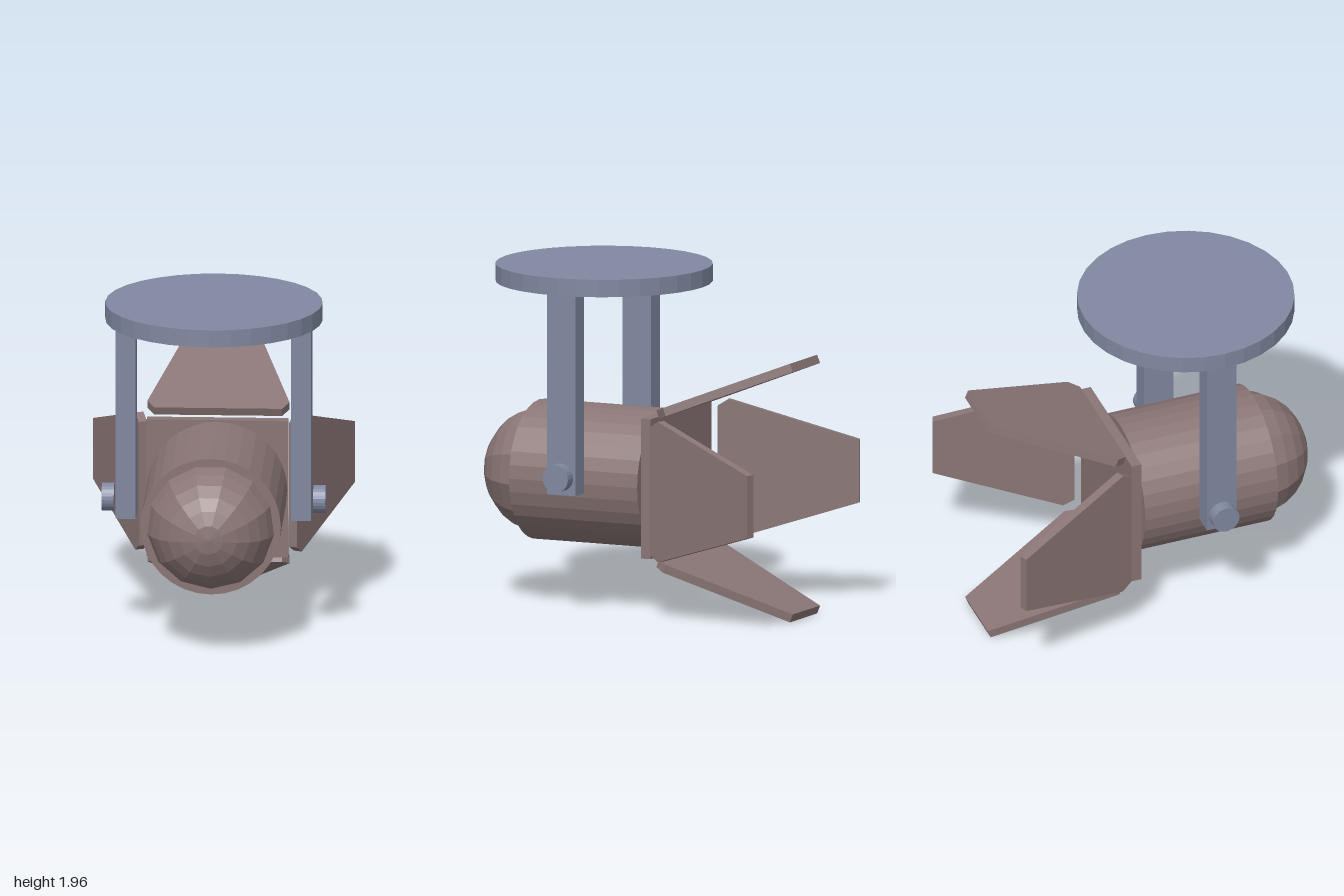
import * as THREE from 'three';

const steel = new THREE.MeshStandardMaterial({ color: 0x8088a0, flatShading: true });
const housing = new THREE.MeshStandardMaterial({ color: 0x8a7575, flatShading: true });
const AXIS_Y = 0.755; // height of the lamp axis

export function createModel() {
  const model = new THREE.Group();
  model.name = 'stageSpotlight';

  const add = (name, geometry, material, x, y, z, parent = model) => {
    const mesh = new THREE.Mesh(geometry, material);
    mesh.name = name;
    mesh.position.set(x, y, z);
    parent.add(mesh);
    return mesh;
  };

  // Ceiling mount
  add('ceilingPlate', new THREE.CylinderGeometry(0.62, 0.62, 0.1, 32), steel, 0, 1.92, 0.28);

  // Yoke arms and tilt knobs on both sides
  for (const [side, s] of [['left', 1], ['right', -1]]) {
    add(side + 'YokeArm', new THREE.BoxGeometry(0.115, 1.15, 0.18), steel, s * 0.5, 1.285, 0.285);
    add(side + 'TiltKnob', new THREE.CylinderGeometry(0.08, 0.08, 0.07, 24).rotateZ(Math.PI / 2),
      steel, s * 0.603, 0.815, 0.283);
  }

  // Lamp body
  add('lampBody', new THREE.CylinderGeometry(0.4, 0.4, 0.81, 32).rotateX(Math.PI / 2),
    housing, 0, AXIS_Y, 0.285);

  // Faceted domed cap, closed at its base
  const radius = 0.37, base = 0.07, rings = 6;
  const start = Math.asin(base / radius);
  const profile = [new THREE.Vector2(0, base)];
  for (let i = 0; i <= rings; i++) {
    const a = start + (Math.PI / 2 - start) * i / rings;
    profile.push(new THREE.Vector2(i === rings ? 0 : radius * Math.cos(a), radius * Math.sin(a)));
  }
  add('domeCap', new THREE.LatheGeometry(profile, 13).rotateX(Math.PI / 2),
    housing, 0, AXIS_Y, 0.63);

  // Square frame that carries the flaps
  add('flapFrame', new THREE.BoxGeometry(0.806, 0.806, 0.06), housing, 0, AXIS_Y, -0.175);

  // Four tapered flaps splayed around the lamp axis
  const outline = new THREE.Shape([
    [-0.365, 0], [0.365, 0], [0.405, 0.065], [0.18, 0.81], [-0.18, 0.81], [-0.405, 0.065],
  ].map(([x, y]) => new THREE.Vector2(x, y)));
  const flapGeometry = new THREE.ExtrudeGeometry(outline, { depth: 0.05, bevelEnabled: false });
  const splay = THREE.MathUtils.degToRad(21.3);
  ['top', 'right', 'bottom', 'left'].forEach((side, i) => {
    const pivot = new THREE.Group();
    pivot.name = side + 'FlapPivot';
    pivot.position.y = AXIS_Y;
    pivot.rotation.z = i * Math.PI / 2;
    model.add(pivot);
    const flap = add(side + 'Flap', flapGeometry, housing, 0, 0.405, -0.243, pivot);
    flap.rotation.x = splay - Math.PI / 2;
  });

  return model;
}
